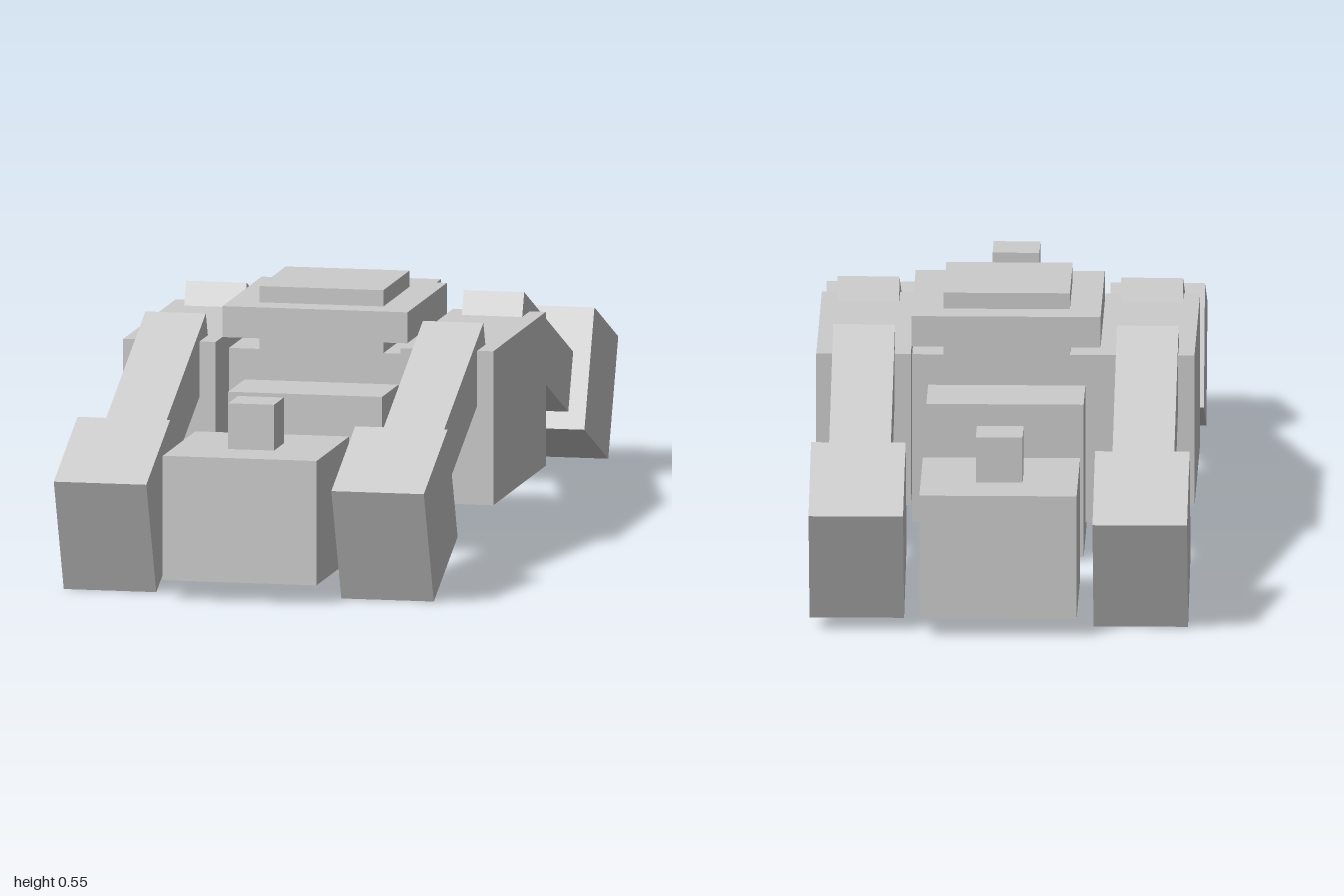
import * as THREE from 'three';

const material = new THREE.MeshStandardMaterial({ color: 0xcccccc, flatShading: true });
const TILT = Math.PI / 8;

export function createModel() {
  const model = new THREE.Group();
  model.name = 'fourLeggedCraft';

  // Box given by its centre, size and pitch about x
  const block = (name, [x, y, z], [w, h, d], pitch = 0) => {
    const mesh = new THREE.Mesh(new THREE.BoxGeometry(w, h, d), material);
    mesh.name = name;
    mesh.position.set(x, y, z);
    mesh.rotation.x = pitch;
    model.add(mesh);
  };

  // Upright box given by its ranges on each axis
  const span = (name, [x0, x1], [y0, y1], [z0, z1]) =>
    block(name, [(x0 + x1) / 2, (y0 + y1) / 2, (z0 + z1) / 2], [x1 - x0, y1 - y0, z1 - z0]);

  // Central hull, cross beam, roof
  span('hull', [-0.168, 0.168], [0.01, 0.345], [-0.288, 0.317]);
  span('crossBeam', [-0.202, 0.202], [0.043, 0.412], [-0.12, 0.148]);
  span('roofPlate', [-0.202, 0.202], [0.446, 0.513], [-0.188, 0.215]);
  span('roofCore', [-0.135, 0.135], [0.412, 0.548], [-0.12, 0.148]);

  // Front and rear pods with a knob on top
  span('frontPod', [-0.168, 0.168], [0.044, 0.313], [0.655, 0.99]);
  span('frontKnob', [-0.05, 0.05], [0.313, 0.412], [0.772, 0.872]);
  span('rearPod', [-0.168, 0.168], [0.044, 0.313], [-0.963, -0.628]);
  span('rearKnob', [-0.05, 0.05], [0.313, 0.412], [-0.844, -0.744]);

  // Sloping arm, placed by the upper edge of its inner end
  const armLength = 0.545, armWidth = 0.132;
  const addArm = (name, x, topZ, dir) => {
    const c = Math.cos(TILT), s = Math.sin(TILT);
    const z = topZ + dir * (c * armLength / 2 - s * armWidth / 2);
    const y = 0.497 - s * armLength / 2 - c * armWidth / 2;
    block(name, [x, y, z], [armWidth, armWidth, armLength], dir * TILT);
  };

  for (const side of [-1, 1]) {
    const label = side > 0 ? 'left' : 'right';
    const x = side * 0.303;
    block(label + 'SidePod', [x, 0.28, 0.015], [0.202, 0.333, 0.54]);
    addArm(label + 'FrontArm', x, 0.222, 1);
    addArm(label + 'RearArm', x, -0.198, -1);
    block(label + 'FrontFoot', [x, 0.177, 0.825], [0.202, 0.269, 0.265], TILT);
    // The two rear feet sit at slightly different heights and depths
    const rear = side > 0 ? [x, 0.202, -0.826] : [x, 0.178, -0.796];
    block(label + 'RearFoot', rear, [0.202, 0.269, 0.265], -TILT);
  }
  return model;
}
